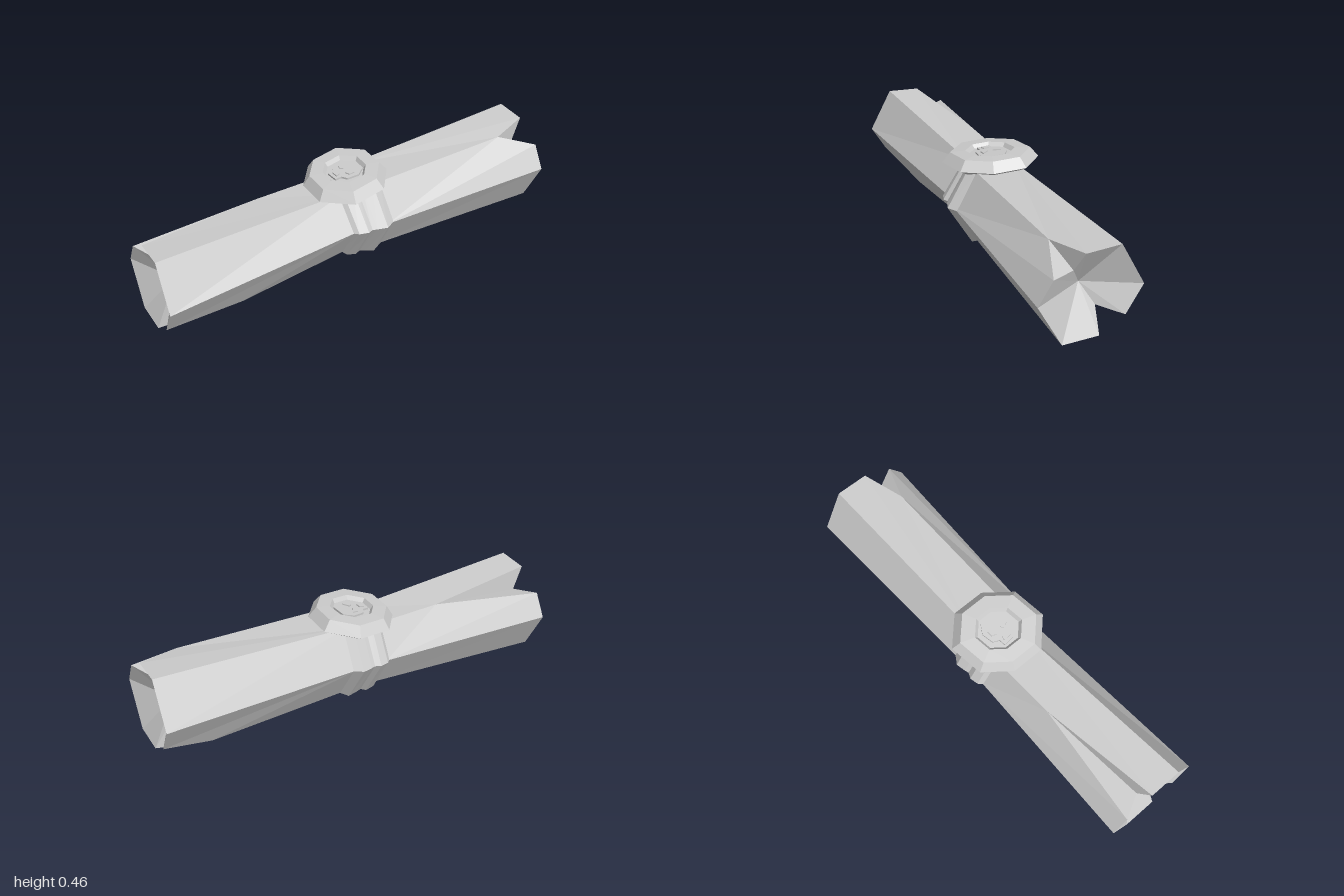
import * as THREE from 'three';

const paper = new THREE.MeshStandardMaterial({ color: 0xcccccc });
paper.name = 'plain grey';

// Flat shaded mesh from a list of polygons, each a fan of [x, y, z] corners
function facets(name, polygons) {
  const pos = [];
  for (const p of polygons)
    for (let i = 1; i < p.length - 1; i++) pos.push(...p[0], ...p[i], ...p[i + 1]);
  const g = new THREE.BufferGeometry();
  g.setAttribute('position', new THREE.Float32BufferAttribute(pos, 3));
  g.computeVertexNormals();
  return named(name, g);
}

function named(name, geometry) {
  const g = geometry.index ? geometry.toNonIndexed() : geometry;
  g.computeVertexNormals();
  const m = new THREE.Mesh(g, paper);
  m.name = name;
  return m;
}

const lerp = (a, b, t) => a.map((v, i) => v + (b[i] - v) * t);

// Waist hexagons: left, top left, top right, right, bottom right, bottom left
const frontWaist = [[-0.2, 0.23], [-0.115, 0.38], [0.06, 0.38], [0.167, 0.232], [0.065, 0.068], [-0.11, 0.068]]
  .map(([x, y]) => [x, y, 0.07]);
const backWaist = [[-0.193, 0.232], [-0.1, 0.4], [0.098, 0.4], [0.2, 0.238], [0.1, 0.065], [-0.095, 0.065]]
  .map(([x, y]) => [x, y, -0.08]);

// Half of the rolled sheet: six sides, two slit corners and a hollow end
function rollHalf(name, waist, lift, topSlit, bottomSlit) {
  const end = (x, y, z = 0.975 + x * 0.08) => [x, y + lift, z];
  const [mL, mTL, mTR, mR, mBR, mBL] = waist;
  const left = end(-0.272, 0.2), flap = end(-0.21, 0.305), topNotch = end(-0.095, 0.29, 0.91);
  const topLeft = end(-0.08, 0.39), topRight = end(0.07, 0.398), right = end(0.178, 0.2);
  const lowFlap = end(0.105, 0.075), lowNotch = end(0.01, 0.107, 0.91);
  const bottomRight = end(-0.005, 0.005), bottomLeft = end(-0.165, 0.002);
  const slit = (m, corner, z) => lerp(m, corner, (z - m[2]) / (corner[2] - m[2]));
  const a = slit(mTL, end(-0.14, 0.375), topSlit);
  const b = slit(mBR, end(0.075, 0.003), bottomSlit);
  const polys = [
    // Sides
    [mL, left, flap, a, mTL],
    [mTR, mTL, a, topLeft, topRight],
    [mTR, topRight, right, mR],
    [mR, right, lowFlap, b, mBR],
    [mBL, mBR, b, bottomRight, bottomLeft],
    [mBL, bottomLeft, left, mL],
    // Slit walls
    [a, flap, topNotch], [a, topNotch, topLeft],
    [b, lowFlap, lowNotch], [b, lowNotch, bottomRight],
  ];
  // Hollow end
  const rim = [left, flap, topNotch, topLeft, topRight, right, lowFlap, lowNotch, bottomRight, bottomLeft];
  const centre = end(-0.04, 0.2, 0.86);
  rim.forEach((p, i) => polys.push([centre, rim[(i + 1) % rim.length], p]));
  return facets(name, polys);
}

// Ribbon: hexagonal loops around the waist with two ridges
function ribbon() {
  const profile = [[0.09, 0.97], [0.065, 1.1], [0.025, 1.14], [0, 1.07], [-0.02, 1.1], [-0.065, 1.14], [-0.112, 0.97]];
  const loops = profile.map(([z, s]) => {
    const t = (0.07 - z) / 0.15;
    const ring = frontWaist.map((p, i) => lerp(p, backWaist[i], t));
    const cx = ring.reduce((n, p) => n + p[0], 0) / 6, cy = ring.reduce((n, p) => n + p[1], 0) / 6;
    return ring.map(([x, y]) => [cx + (x - cx) * s, cy + (y - cy) * s, z + (y - 0.22) * 0.05]);
  });
  const polys = [];
  for (let k = 0; k < loops.length - 1; k++)
    for (let i = 0; i < 6; i++) {
      const j = (i + 1) % 6;
      polys.push([loops[k + 1][i], loops[k][i], loops[k][j], loops[k + 1][j]]);
    }
  return facets('ribbon', polys);
}

// Wax seal: faceted disc with a sunken middle and a small face in relief
function seal() {
  const g = new THREE.Group();
  g.name = 'waxSeal';
  const profile = [[0, -0.05], [0.14, -0.05], [0.205, -0.015], [0.17, 0.03], [0.105, 0.033], [0.092, 0.015], [0, 0.015]]
    .map(([r, y]) => new THREE.Vector2(r, y));
  const disc = new THREE.LatheGeometry(profile, 8, Math.PI / 8);
  // Uneven pressed edge
  const p = disc.attributes.position;
  for (let i = 0; i < p.count; i++) {
    const x = p.getX(i), z = p.getZ(i), k = 1 + 0.06 * Math.sin(2 * Math.atan2(z, x) + 0.6);
    p.setXYZ(i, x * k, p.getY(i), z * k);
  }
  g.add(named('sealDisc', disc));

  const plate = (name, points, depth, y) => {
    const shape = new THREE.Shape(points.map(([x, z]) => new THREE.Vector2(x, -z)));
    const geo = new THREE.ExtrudeGeometry(shape, { depth, bevelEnabled: false });
    const m = named(name, geo.rotateX(-Math.PI / 2));
    m.position.y = y;
    g.add(m);
  };
  plate('reliefHead', [[-0.04, -0.07], [0.04, -0.07], [0.068, -0.03], [0.06, 0.025], [0.032, 0.04],
    [0.03, 0.07], [-0.03, 0.07], [-0.032, 0.04], [-0.06, 0.025], [-0.068, -0.03]], 0.009, 0.015);
  for (const s of [-1, 1])
    plate('reliefEye', [[s * 0.012, -0.002], [s * 0.045, -0.022], [s * 0.045, 0.004], [s * 0.02, 0.012]], 0.005, 0.024);
  plate('reliefMouth', [[-0.018, 0.055], [-0.012, 0.035], [0.012, 0.035], [0.018, 0.055]], 0.005, 0.024);

  g.position.set(-0.02, 0.415, 0);
  g.rotation.x = 0.1;
  return g;
}

export function createModel() {
  const model = new THREE.Group();
  model.name = 'sealedScroll';
  model.add(rollHalf('frontRoll', frontWaist, 0, 0.4, 0.6));

  // The back half is the same roll turned about the upright axis
  const turned = [3, 2, 1, 0, 5, 4].map((i) => [-backWaist[i][0], backWaist[i][1], -backWaist[i][2]]);
  const back = rollHalf('backRoll', turned, 0.055, 0.78, 0.75);
  back.rotation.y = Math.PI;
  model.add(back, ribbon(), seal());
  return model;
}
